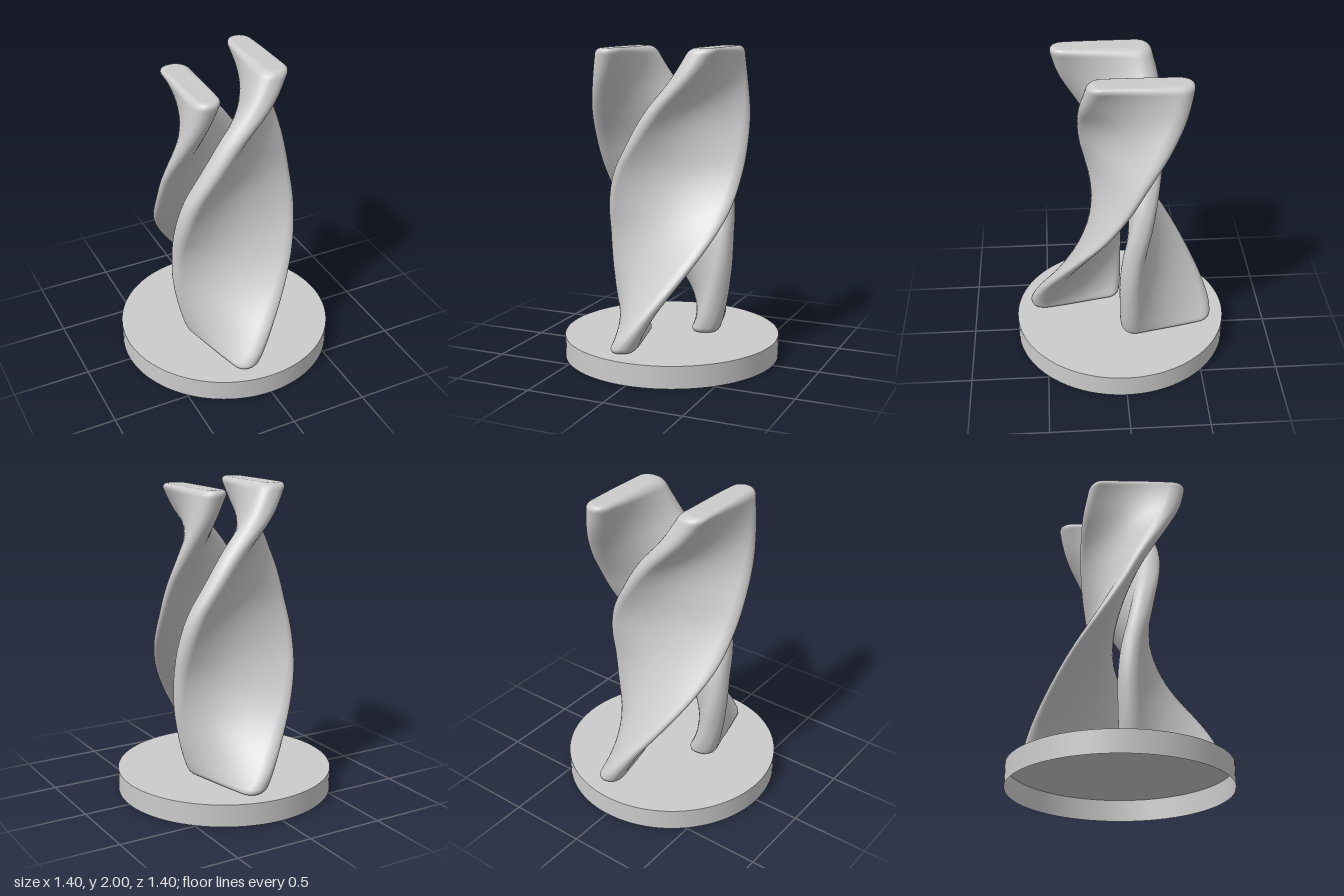
import * as THREE from 'three';

const material = new THREE.MeshStandardMaterial({ color: 0xcccccc, side: THREE.DoubleSide });

// Paths of the two long edges of one blade, on the same heights
const HEIGHTS = [0.145, 0.25, 0.4, 0.6, 0.8, 1.0, 1.2, 1.4, 1.6, 1.8, 2.0];
const INNER = [[-0.2, 0.075], [-0.245, 0.065], [-0.285, 0.06], [-0.315, 0.055], [-0.32, 0.07],
  [-0.31, 0.11], [-0.26, 0.145], [-0.15, 0.175], [-0.02, 0.185], [0.15, 0.175], [0.275, 0.13]];
const OUTER = [[-0.11, 0.53], [-0.05, 0.525], [0.04, 0.475], [0.17, 0.375], [0.285, 0.255],
  [0.365, 0.12], [0.395, 0.0], [0.4, -0.1], [0.375, -0.21], [0.325, -0.3], [0.27, -0.35]];
const TOP = HEIGHTS.length - 1;

function edgeCurve(points) {
  return new THREE.CatmullRomCurve3(
    points.map(([x, z], i) => new THREE.Vector3(x, HEIGHTS[i], z)), false, 'catmullrom', 0.5);
}

// Rounded rectangle outline with extra points along its long sides,
// thinned by the taper towards the outer edge (+p)
function outline(halfLength, halfWidth, radius, taper) {
  const points = [];
  const corners = [[1, 1], [-1, 1], [-1, -1], [1, -1]];
  const ARC = 7, SIDE = 14;
  corners.forEach(([sx, sy], k) => {
    const cx = sx * (halfLength - radius), cy = sy * (halfWidth - radius);
    for (let i = 0; i <= ARC; i++) {
      const a = (k + i / ARC) * Math.PI / 2;
      points.push([cx + radius * Math.cos(a), cy + radius * Math.sin(a)]);
    }
    if (k % 2 === 0) {
      for (let i = 1; i < SIDE; i++) {
        points.push([cx * (1 - 2 * i / SIDE), sy * halfWidth]);
      }
    }
  });
  return points.map(([p, q]) => [p, q * (1 - taper * Math.max(0, p / halfLength) ** 2)]);
}

// Twisted slab lofted between the two edge paths, with rounded ends
function bladeGeometry() {
  const inner = edgeCurve(INNER), outer = edgeCurve(OUTER);
  const RINGS = 90, FILLET = 0.04;
  const positions = [], indices = [];
  let count = 0;
  for (let r = 0; r <= RINGS; r++) {
    const t = (1 - Math.cos(Math.PI * r / RINGS)) / 2;
    const a = inner.getPoint(t), b = outer.getPoint(t);
    const mid = a.clone().add(b).multiplyScalar(0.5);
    const u = b.clone().sub(a);
    const length = u.length();
    u.normalize();
    const endDistance = Math.max(0, Math.min(a.y - HEIGHTS[0], 2 - a.y));
    const k = 1 - Math.min(1, endDistance / FILLET);
    const inset = FILLET * (1 - Math.sqrt(1 - k * k));
    const halfWidth = 0.07 + 0.026 * (2 * t - 1) ** 2;
    const w = halfWidth - inset;
    const ring = outline(length / 2 + 0.075 - inset, w, w * 0.9, 0.15 + 0.35 * Math.sin(Math.PI * t));
    count = ring.length;
    for (const [p, q] of ring) {
      positions.push(mid.x + u.x * p - u.z * q, a.y, mid.z + u.z * p + u.x * q);
    }
  }
  for (let r = 0; r < RINGS; r++) {
    for (let j = 0; j < count; j++) {
      const n = (j + 1) % count;
      const a = r * count + j, b = r * count + n;
      indices.push(a, a + count, b, b, a + count, b + count);
    }
  }
  // End caps
  const last = RINGS * count;
  const centre = positions.length / 3;
  for (const i of [0, TOP]) {
    positions.push((INNER[i][0] + OUTER[i][0]) / 2, HEIGHTS[i], (INNER[i][1] + OUTER[i][1]) / 2);
  }
  for (let j = 0; j < count; j++) {
    const n = (j + 1) % count;
    indices.push(centre, j, n, centre + 1, last + n, last + j);
  }
  const geometry = new THREE.BufferGeometry();
  geometry.setAttribute('position', new THREE.Float32BufferAttribute(positions, 3));
  geometry.setIndex(indices);
  geometry.computeVertexNormals();
  return geometry;
}

// Hollow plinth: a round wall and a top disc, open underneath
function createBase() {
  const RADIUS = 0.7, HEIGHT = 0.143;
  const base = new THREE.Group();
  base.name = 'base';
  const wall = new THREE.Mesh(new THREE.CylinderGeometry(RADIUS, RADIUS, HEIGHT, 96, 1, true), material);
  wall.name = 'baseWall';
  wall.position.y = HEIGHT / 2;
  const top = new THREE.Mesh(new THREE.CircleGeometry(RADIUS, 96), material);
  top.name = 'baseTop';
  top.rotation.x = -Math.PI / 2;
  top.position.y = HEIGHT;
  base.add(wall, top);
  return base;
}

export function createModel() {
  const model = new THREE.Group();
  model.name = 'twistedSculpture';
  model.add(createBase());

  // Two identical blades, half a turn apart
  const geometry = bladeGeometry();
  ['frontBlade', 'backBlade'].forEach((name, i) => {
    const blade = new THREE.Mesh(geometry, material);
    blade.name = name;
    blade.rotation.y = i * Math.PI;
    model.add(blade);
  });
  return model;
}
